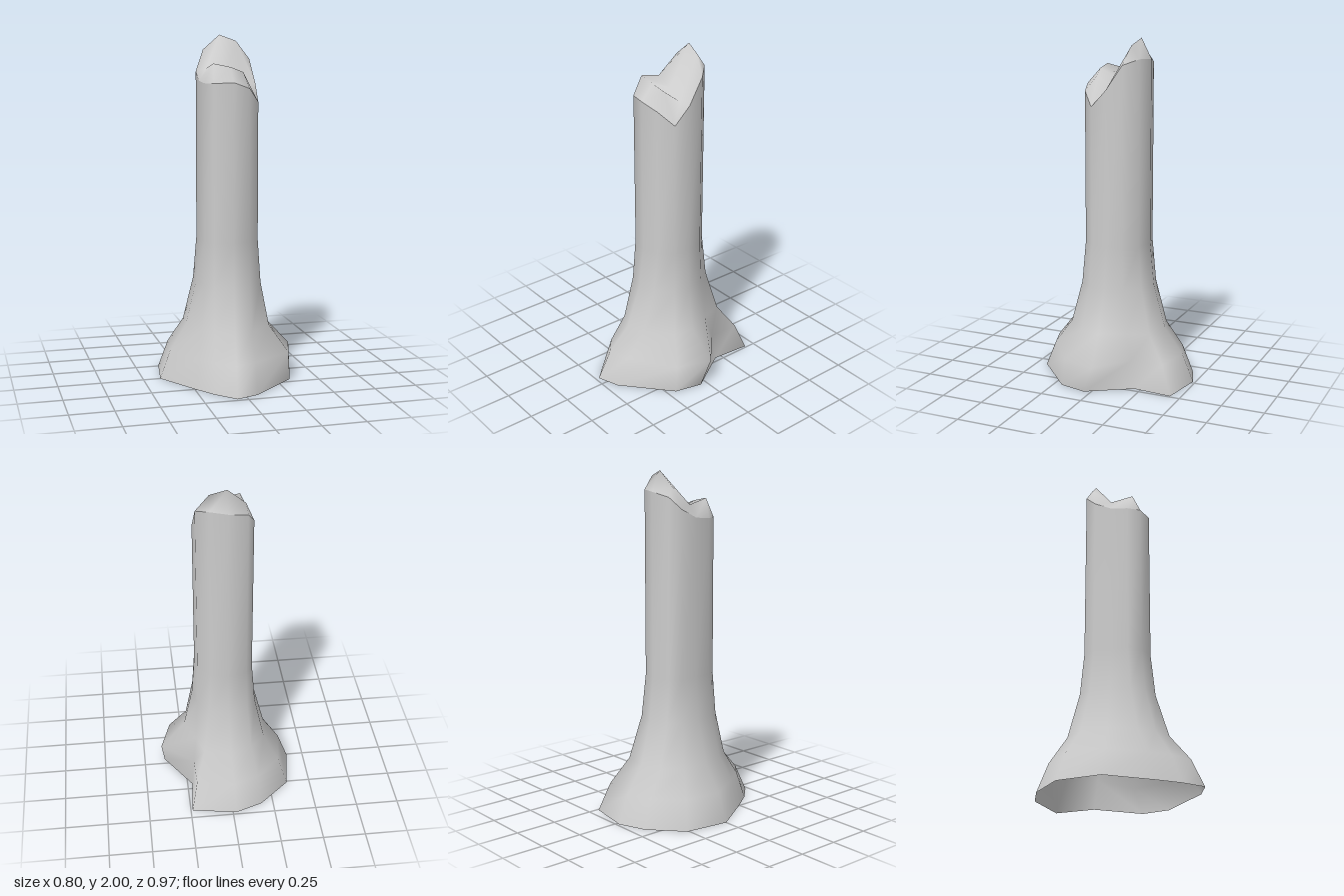
import * as THREE from 'three';

// twelve corners around the shaft and the matching root tips at the ground, as [x, z]
const SHAFT = [[-0.11, -0.185], [0, -0.215], [0.1, -0.185], [0.17, -0.11], [0.18, -0.015], [0.17, 0.08],
  [0.1, 0.15], [0, 0.178], [-0.11, 0.15], [-0.15, 0.08], [-0.155, -0.02], [-0.15, -0.12]];
const ROOTS = [[-0.18, -0.425], [-0.02, -0.485], [0.24, -0.44], [0.22, -0.21], [0.375, 0.04], [0.335, 0.2],
  [0.07, 0.435], [-0.06, 0.48], [-0.16, 0.375], [-0.24, 0.26], [-0.4, 0], [-0.36, -0.26]];
// height of the broken rim at each corner
const RIM = [1.86, 1.885, 1.89, 1.86, 1.72, 1.62, 1.7, 1.735, 1.73, 1.73, 1.74, 1.79];
const N = SHAFT.length;

const material = new THREE.MeshStandardMaterial({ color: 0xcccccc, side: THREE.DoubleSide });

function makeMesh(name, points, index) {
  const geometry = new THREE.BufferGeometry();
  geometry.setAttribute('position', new THREE.Float32BufferAttribute(points.flat(), 3));
  geometry.setIndex(index);
  geometry.computeVertexNormals();
  const mesh = new THREE.Mesh(geometry, material);
  mesh.name = name;
  return mesh;
}

// two triangles; a-b is the lower or outer edge, c-d the upper or inner one
function quad(index, a, b, c, d) {
  if (c === d) index.push(a, c, b);
  else index.push(a, c, b, b, c, d);
}

const rimPoints = () => SHAFT.map(([x, z], i) => [x, RIM[i], z]);

// flared trunk, open underneath: each ring blends from shaft to roots
function createTrunk() {
  const levels = [[0, 1], [0.165, 0.75], [0.315, 0.35], [0.57, 0.09], [0.82, 0]];
  const points = [];
  for (const [y, flare] of levels) {
    SHAFT.forEach(([x, z], i) => points.push([
      THREE.MathUtils.lerp(x, ROOTS[i][0], flare), y,
      THREE.MathUtils.lerp(z, ROOTS[i][1], flare)]));
  }
  // the root on the left side bulges outward above the ground
  points[N + 4] = [0.395, 0.16, -0.02];
  points[N + 5] = [0.33, 0.16, 0.185];
  points.push(...rimPoints());

  const index = [];
  for (let r = 0; r < levels.length; r++) {
    for (let i = 0; i < N; i++) {
      const j = (i + 1) % N;
      quad(index, r * N + i, r * N + j, (r + 1) * N + i, (r + 1) * N + j);
    }
  }
  return makeMesh('trunk', points, index);
}

// splintered top: tall back ridge, valley, low front ridge
function createBrokenTop() {
  const inner = [
    [-0.1, 1.915, -0.15], [0, 2, -0.155], [0.095, 1.965, -0.135],
    [-0.11, 1.81, -0.03], [0, 1.77, -0.02], [0.1, 1.72, -0.01],
    [-0.1, 1.84, 0.1], [0, 1.82, 0.1], [0.08, 1.79, 0.08]];
  // inner point that each rim corner climbs to
  const target = [0, 1, 2, 2, 5, 8, 8, 7, 6, 6, 3, 0];
  const index = [];
  for (let i = 0; i < N; i++) {
    const j = (i + 1) % N;
    quad(index, i, j, N + target[i], N + target[j]);
  }
  for (const a of [0, 1, 3, 4]) quad(index, N + a, N + a + 1, N + a + 3, N + a + 4);
  return makeMesh('brokenTop', [...rimPoints(), ...inner], index);
}

export function createModel() {
  const group = new THREE.Group();
  group.name = 'brokenTreeTrunk';
  group.add(createTrunk(), createBrokenTop());
  return group;
}
